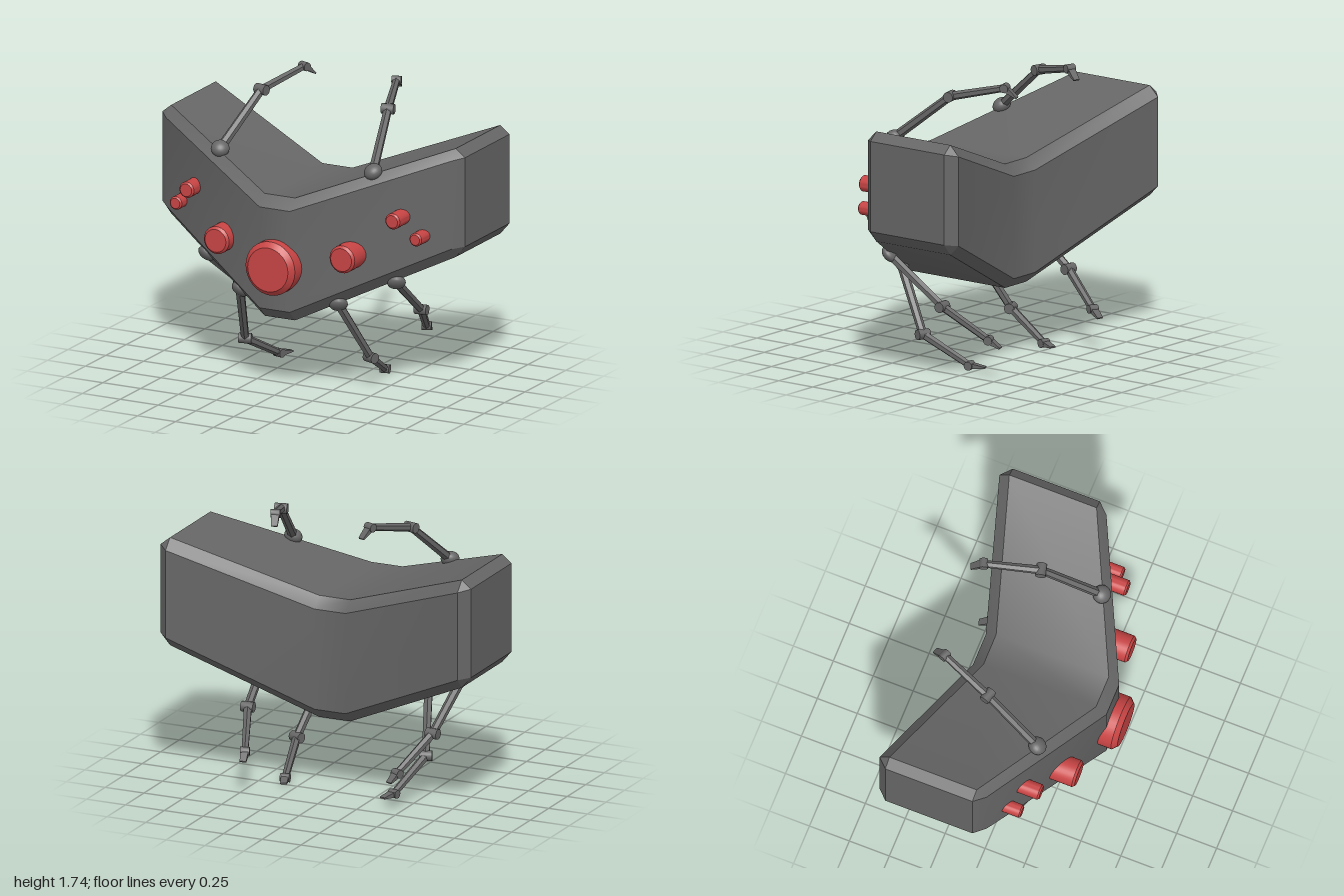
import * as THREE from 'three';
import { toCreasedNormals } from 'three/addons/utils/BufferGeometryUtils.js';

const grey = new THREE.MeshStandardMaterial({ color: 0x666666 });
const red = new THREE.MeshStandardMaterial({ color: 0xc84444 });
const V = (x, y, z) => new THREE.Vector3(x, y, z);

function add(parent, name, geometry, material) {
  const mesh = new THREE.Mesh(geometry, material);
  mesh.name = name;
  parent.add(mesh);
  return mesh;
}

// Bevelled rectangle in the plane of a given x, running up the front first
function ring([x, zf, zb, y0, y1, c]) {
  return [
    V(x, y0 + c, zf), V(x, y1 - c, zf), V(x, y1, zf - c), V(x, y1, zb + c),
    V(x, y1 - c, zb), V(x, y0 + c, zb), V(x, y0, zb + c), V(x, y0, zf - c),
  ];
}

// Swept-back, V-shaped hull lofted through bevelled sections
function hullGeometry() {
  const half = [
    [0.1, 0.5, -0.335, 0.465, 1.207, 0.065],
    [0.94, 0.085, -0.585, 0.86, 1.518, 0.062],
    [1, 0.02, -0.525, 0.93, 1.47, 0],
  ];
  const mirrored = half.map(([x, ...rest]) => [-x, ...rest]).reverse();
  const rings = [...mirrored, ...half].map(ring);
  const pos = [];
  const tri = (a, b, c) => {
    const area = b.clone().sub(a).cross(c.clone().sub(a)).length();
    if (area > 1e-7) for (const p of [a, b, c]) pos.push(p.x, p.y, p.z);
  };
  for (let s = 0; s < rings.length - 1; s++) {
    for (let i = 0; i < 8; i++) {
      const j = (i + 1) % 8;
      tri(rings[s][i], rings[s + 1][i], rings[s + 1][j]);
      tri(rings[s][i], rings[s + 1][j], rings[s][j]);
    }
  }
  const first = rings[0], last = rings[rings.length - 1];
  for (let i = 1; i < 7; i++) {
    tri(first[0], first[i], first[i + 1]);
    tri(last[0], last[i + 1], last[i]);
  }
  const g = new THREE.BufferGeometry();
  g.setAttribute('position', new THREE.Float32BufferAttribute(pos, 3));
  return toCreasedNormals(g, 0.5);
}

// Bevelled disc facing forward
function eye(parent, x, y, r, back, front, bevel) {
  const profile = [[0, back], [r, back], [r, front - bevel], [r - bevel, front], [0, front]];
  const g = new THREE.LatheGeometry(profile.map(([a, b]) => new THREE.Vector2(a, b)), 32);
  g.rotateX(Math.PI / 2);
  add(parent, 'eye', toCreasedNormals(g, 0.5), red).position.set(x, y, 0);
}

// Turns a mesh so its y axis runs along dir and its x axis stays level
function aim(mesh, dir) {
  const y = dir.clone().normalize();
  const x = V(0, 1, 0).cross(y).normalize();
  mesh.quaternion.setFromRotationMatrix(new THREE.Matrix4().makeBasis(x, y, x.clone().cross(y)));
}

function segment(parent, name, a, b, r0, r1) {
  const g = new THREE.CylinderGeometry(r1, r0, a.distanceTo(b), 6).toNonIndexed();
  g.computeVertexNormals();
  const mesh = add(parent, name, g, grey);
  mesh.position.copy(a).lerp(b, 0.5);
  aim(mesh, b.clone().sub(a));
}

// Hinge barrel lying across the limb
function hinge(parent, name, at, dir, r, width) {
  const g = toCreasedNormals(new THREE.CylinderGeometry(r, r, width, 12).rotateZ(Math.PI / 2), 0.6);
  const mesh = add(parent, name, g, grey);
  mesh.position.copy(at);
  aim(mesh, dir);
}

// Flat wedge tapering towards its tip
function claw(parent, a, b) {
  const length = a.distanceTo(b);
  const g = new THREE.BoxGeometry(0.048, length, 0.036).toNonIndexed();
  const p = g.attributes.position;
  for (let i = 0; i < p.count; i++) {
    if (p.getY(i) > 0) p.setXYZ(i, p.getX(i) * 0.8, p.getY(i), p.getZ(i) * 0.25);
  }
  g.computeVertexNormals();
  const mesh = add(parent, 'claw', g, grey);
  mesh.position.copy(a).lerp(b, 0.5);
  aim(mesh, b.clone().sub(a));
}

function leg(parent, side, { name, points, normal, squash }) {
  const group = new THREE.Group();
  group.name = name;
  parent.add(group);
  const [hip, knee, wrist, tip] = points.map(([x, y, z]) => V(x * side, y, z));
  const ball = add(group, 'hip', new THREE.SphereGeometry(0.055, 20, 14), grey);
  ball.position.copy(hip);
  ball.scale.y = squash;
  aim(ball, V(normal[0] * side, normal[1], normal[2]));
  segment(group, 'upperLeg', hip, knee, 0.028, 0.025);
  hinge(group, 'knee', knee, knee.clone().sub(hip), 0.031, 0.076);
  segment(group, 'lowerLeg', knee, wrist, 0.026, 0.022);
  hinge(group, 'wrist', wrist, wrist.clone().sub(knee), 0.026, 0.056);
  claw(group, wrist, tip);
}

export function createModel() {
  const model = new THREE.Group();
  model.name = 'walker';
  add(model, 'hull', hullGeometry(), grey);

  // Eyes: one large in the middle, three smaller on each side
  eye(model, 0, 0.795, 0.163, 0.4, 0.583, 0.03);
  const legs = [
    { name: 'topArm', normal: [-0.25, 0.85, 0.45], squash: 0.8,
      points: [[0.505, 1.37, 0.23], [0.418, 1.65, -0.115], [0.305, 1.725, -0.43], [0.28, 1.67, -0.5]] },
    { name: 'frontLeg', normal: [0.35, -0.7, 0.6], squash: 0.62,
      points: [[0.325, 0.565, 0.32], [0.415, 0.195, 0.09], [0.35, 0.04, -0.205], [0.318, 0.034, -0.295]] },
    { name: 'backLeg', normal: [0.35, -0.7, 0.6], squash: 0.62,
      points: [[0.627, 0.7, 0.17], [0.595, 0.437, -0.195], [0.49, 0.255, -0.455], [0.47, 0.213, -0.525]] },
  ];
  for (const side of [1, -1]) {
    eye(model, side * 0.415, 0.88, 0.083, 0.25, 0.455, 0.014);
    eye(model, side * 0.68, 1.115, 0.048, 0.12, 0.325, 0.01);
    eye(model, side * 0.792, 1, 0.04, 0.06, 0.25, 0.009);
    for (const l of legs) leg(model, side, l);
  }
  return model;
}
